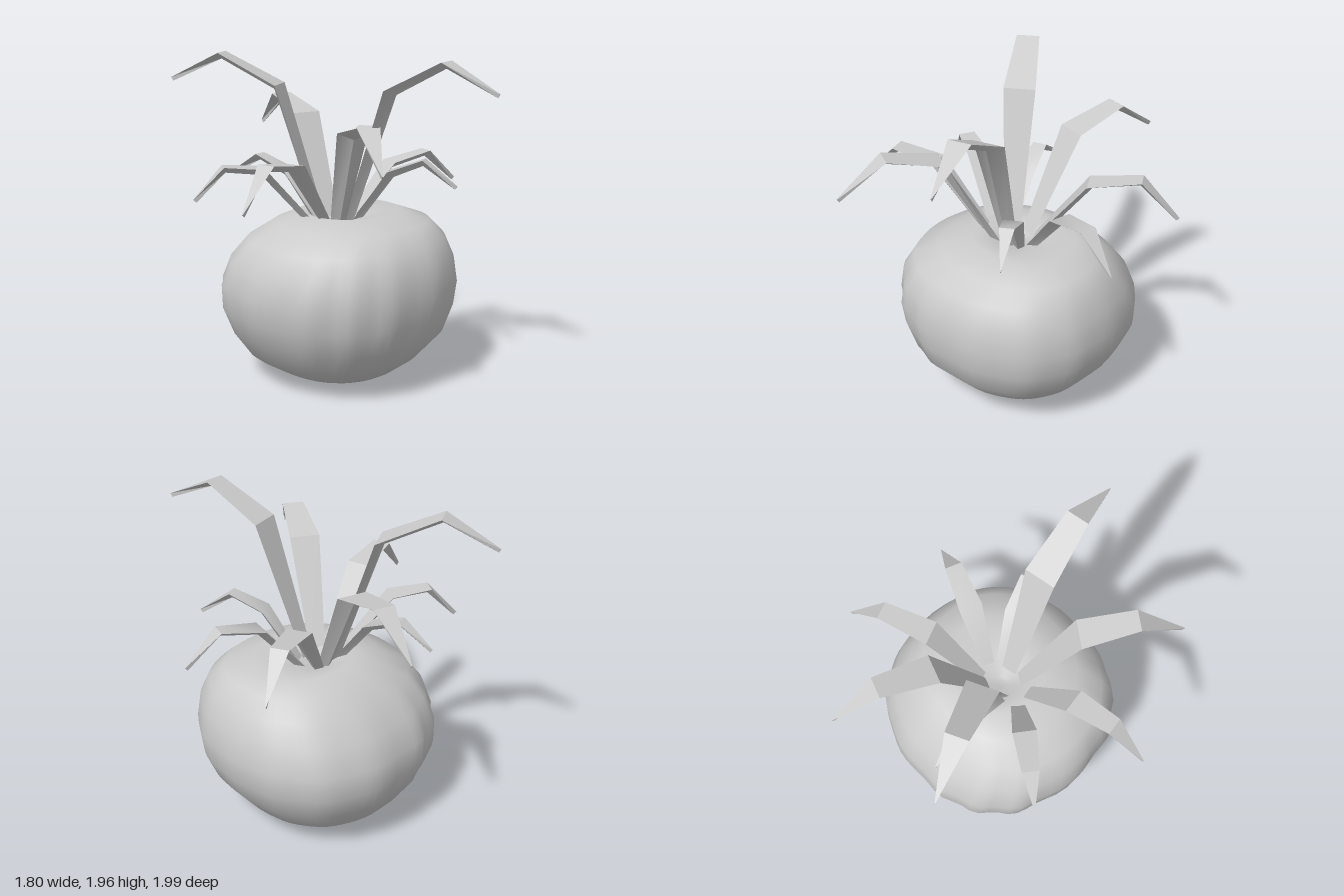
import * as THREE from 'three';
import { toCreasedNormals } from 'three/addons/utils/BufferGeometryUtils.js';

const grey = new THREE.MeshStandardMaterial({ color: 0xcccccc, side: THREE.DoubleSide });

// Skin a list of closed rings (arrays of Vector3) and cap both ends with fans
function loft(rings) {
  const n = rings[0].length;
  const pos = rings.flat().flatMap((p) => [p.x, p.y, p.z]);
  const idx = [];
  for (let i = 0; i < rings.length - 1; i++) {
    for (let j = 0; j < n; j++) {
      const a = i * n + j, b = i * n + (j + 1) % n;
      idx.push(a, b, b + n, a, b + n, a + n);
    }
  }
  const last = (rings.length - 1) * n;
  for (let j = 1; j < n - 1; j++) {
    idx.push(0, j + 1, j, last, last + j, last + j + 1);
  }
  const geo = new THREE.BufferGeometry();
  geo.setAttribute('position', new THREE.Float32BufferAttribute(pos, 3));
  geo.setIndex(idx);
  geo.computeVertexNormals();
  return geo;
}

// Lopsided bulb: y, xMin, xMax, zMin, zMax per level, ending inside the crown dimple
const LEVELS = [
  [0.0, -0.1, -0.04, -0.11, 0.03],
  [0.015, -0.16, 0.1, -0.3, 0.15],
  [0.06, -0.27, 0.42, -0.42, 0.33],
  [0.15, -0.42, 0.58, -0.55, 0.45],
  [0.3, -0.53, 0.7, -0.65, 0.585],
  [0.45, -0.59, 0.765, -0.7, 0.63],
  [0.6, -0.61, 0.78, -0.69, 0.65],
  [0.75, -0.58, 0.75, -0.62, 0.63],
  [0.88, -0.5, 0.69, -0.51, 0.57],
  [0.97, -0.33, 0.61, -0.4, 0.46],
  [1.03, -0.15, 0.45, -0.27, 0.28],
  [0.99, -0.04, 0.22, -0.15, 0.12],
  [0.96, 0.03, 0.09, -0.05, 0.01],
];

function bodyGeometry() {
  const SEG = 64, POWER = 2 / 2.3;
  const soft = (v) => Math.sign(v) * Math.abs(v) ** POWER;
  return loft(LEVELS.map(([y, x0, x1, z0, z1]) => {
    const ring = [];
    // Shallow vertical ribs, strongest round the middle and on the right
    const belly = Math.sin(Math.PI * Math.min(1, y));
    for (let j = 0; j < SEG; j++) {
      const t = (j / SEG) * Math.PI * 2;
      const rib = 1 + 0.011 * belly * (1 - 0.5 * Math.cos(t)) * (Math.cos(14 * t + Math.sin(3 * t)) - 0.4);
      ring.push(new THREE.Vector3(
        (x0 + x1) / 2 + soft(Math.cos(t)) * rib * (x1 - x0) / 2,
        y,
        (z0 + z1) / 2 - soft(Math.sin(t)) * rib * (z1 - z0) / 2));
    }
    return ring;
  }));
}

// Leaf: triangular blade, flat on top with a keel below, bent at two joints
function leafGeometry({ base, tip, mid, peak, width }) {
  const [bx, bz] = base, [tx, ty, tz] = tip;
  const at = ([f, y]) => new THREE.Vector3(bx + (tx - bx) * f, y, bz + (tz - bz) * f);
  const pts = [[0, 0.96], mid, peak, [1, ty]].map(at);
  const up0 = new THREE.Vector3(0, 1, 0);
  const side = new THREE.Vector3(tx - bx, 0, tz - bz).normalize().cross(up0);
  const widths = [0.5, 1, 0.72, 0.03];
  const keels = [0.035, 0.045, 0.04, 0.025];
  const dirs = pts.slice(1).map((p, i) => p.clone().sub(pts[i]).normalize());
  const rings = pts.map((p, i) => {
    const dir = dirs[Math.max(0, i - 1)].clone().add(dirs[Math.min(2, i)]).normalize();
    const up = side.clone().cross(dir);
    const half = width * widths[i] / 2;
    return [
      p.clone().addScaledVector(side, -half),
      p.clone().addScaledVector(side, half),
      p.clone().addScaledVector(up, -keels[i]),
    ];
  });
  return toCreasedNormals(loft(rings), 0.7);
}

// base [x, z], tip [x, y, z]; mid and peak are [fraction of reach, height]
const LEAVES = [
  { base: [0.08, 0.05], tip: [0.31, 1.8, 0.99], mid: [0.3, 1.78], peak: [0.66, 1.96], width: 0.19 },
  { base: [0.0, -0.07], tip: [-0.47, 1.8, -0.9], mid: [0.28, 1.78], peak: [0.66, 1.96], width: 0.19 },
  { base: [0.09, -0.09], tip: [0.35, 1.44, -1.0], mid: [0.34, 1.57], peak: [0.7, 1.65], width: 0.18 },
  { base: [0.0, 0.05], tip: [-0.5, 1.44, 0.87], mid: [0.36, 1.57], peak: [0.71, 1.65], width: 0.18 },
  { base: [-0.06, 0.03], tip: [-0.9, 1.2, 0.23], mid: [0.42, 1.39], peak: [0.74, 1.43], width: 0.15 },
  { base: [0.13, -0.09], tip: [0.9, 1.2, -0.48], mid: [0.38, 1.38], peak: [0.74, 1.43], width: 0.15 },
  { base: [0.17, -0.02], tip: [0.89, 1.15, 0.2], mid: [0.37, 1.29], peak: [0.72, 1.34], width: 0.14 },
  { base: [-0.09, -0.03], tip: [-0.71, 1.15, -0.42], mid: [0.43, 1.32], peak: [0.76, 1.34], width: 0.14 },
  { base: [0.14, 0.04], tip: [0.44, 1.21, 0.6], mid: [0.35, 1.28], peak: [0.68, 1.36], width: 0.12 },
  { base: [-0.02, -0.07], tip: [-0.17, 1.21, -0.7], mid: [0.35, 1.26], peak: [0.68, 1.34], width: 0.12 },
];

export function createModel() {
  const model = new THREE.Group();
  model.name = 'leafyBulb';
  const body = new THREE.Mesh(bodyGeometry(), grey);
  body.name = 'bulb';
  model.add(body);

  const crown = new THREE.Group();
  crown.name = 'leafCrown';
  LEAVES.forEach((spec, i) => {
    const leaf = new THREE.Mesh(leafGeometry(spec), grey);
    leaf.name = `leaf${i + 1}`;
    crown.add(leaf);
  });
  model.add(crown);
  return model;
}
